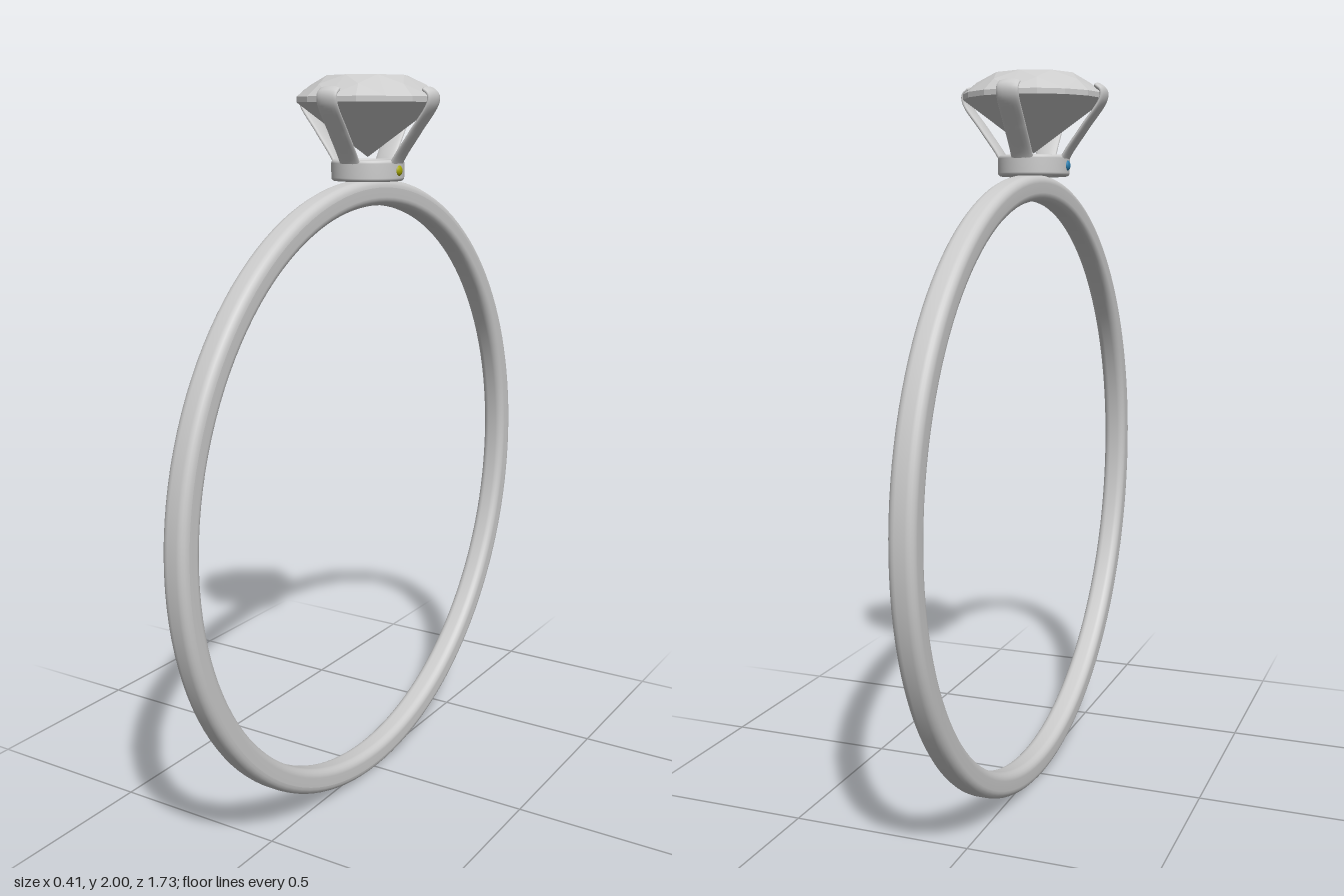
import * as THREE from 'three';
import { ConvexGeometry } from 'three/addons/geometries/ConvexGeometry.js';

const metal = new THREE.MeshStandardMaterial({ color: 0xcccccc });

function add(parent, name, geometry, material = metal) {
  const mesh = new THREE.Mesh(geometry, material);
  mesh.name = name;
  parent.add(mesh);
  return mesh;
}

// Closed rounded-rectangle section swept round the y axis
function roundedRing(inner, outer, height, corner, segments) {
  const pts = [];
  const cr = (inner + outer) / 2, hw = (outer - inner) / 2 - corner, hh = height / 2 - corner;
  const corners = [[1, -1], [1, 1], [-1, 1], [-1, -1]];
  corners.forEach(([sx, sy], i) => {
    for (let k = 0; k <= 5; k++) {
      const a = -Math.PI / 2 + (i + k / 5) * Math.PI / 2;
      pts.push(new THREE.Vector2(cr + sx * hw + corner * Math.cos(a), sy * hh + corner * Math.sin(a)));
    }
  });
  pts.push(pts[0].clone());
  return new THREE.LatheGeometry(pts, segments);
}

// Brilliant-cut stone: table, crown, girdle and pointed pavilion
function brilliant() {
  const pts = [];
  const ring = (n, r, y, offset = 0) => {
    for (let i = 0; i < n; i++) {
      const a = (i + offset) / n * Math.PI * 2;
      pts.push(new THREE.Vector3(r * Math.cos(a), y, r * Math.sin(a)));
    }
  };
  ring(8, 0.11, 2.0);
  ring(8, 0.155, 1.976, 0.5);
  ring(16, 0.192, 1.945);
  ring(16, 0.192, 1.931);
  pts.push(new THREE.Vector3(0, 1.79, 0));
  return new ConvexGeometry(pts);
}

export function createModel() {
  const model = new THREE.Group();
  model.name = 'ring';

  // Band standing upright in the yz plane
  const band = add(model, 'band', roundedRing(0.796, 0.866, 0.07, 0.022, 128));
  band.rotation.z = Math.PI / 2;
  band.position.y = 0.866;

  const head = new THREE.Group();
  head.name = 'head';
  head.position.z = 0.004;
  model.add(head);

  // Collar under the stone
  add(head, 'collar', roundedRing(0.073, 0.098, 0.056, 0.009, 64)).position.y = 1.756;

  add(head, 'stone', brilliant());

  // Four flat claws that hook over the girdle
  const path = new THREE.CatmullRomCurve3([
    [0.078, 1.738], [0.09, 1.776], [0.145, 1.855], [0.196, 1.927], [0.197, 1.95], [0.183, 1.962],
  ].map(([x, y]) => new THREE.Vector3(x, y, 0)));
  const r = 0.008;
  const clawGeometry = new THREE.TubeGeometry(path, 40, r, 16);
  const capGeometry = new THREE.SphereGeometry(r, 16, 10);
  for (let i = 0; i < 4; i++) {
    const claw = new THREE.Group();
    claw.name = 'claw';
    claw.rotation.y = i * Math.PI / 2;
    claw.scale.z = 3.9;
    add(claw, 'clawStrip', clawGeometry);
    for (const t of [0, 1]) add(claw, 'clawEnd', capGeometry).position.copy(path.getPoint(t));
    head.add(claw);
  }

  // Small coloured accent stones on the sides of the collar
  for (const [side, color] of [[1, 0xa8a800], [-1, 0x2a7fb0]]) {
    const accent = add(head, 'accentStone', new THREE.SphereGeometry(0.014, 16, 12),
      new THREE.MeshStandardMaterial({ color }));
    accent.position.set(side * 0.096, 1.756, 0);
    accent.scale.x = 0.6;
  }
  return model;
}
